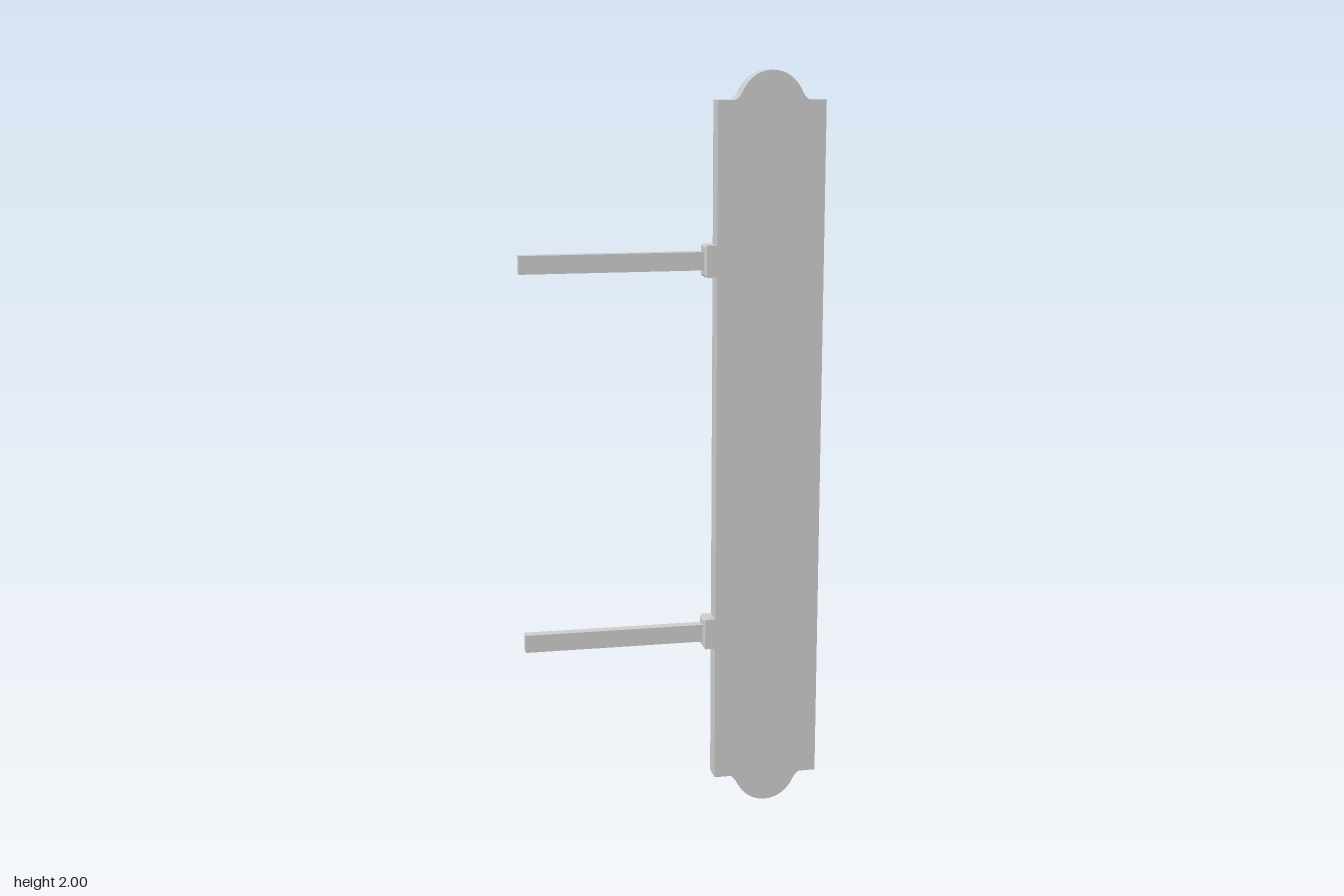
import * as THREE from 'three';

const material = new THREE.MeshStandardMaterial({ color: 0xcccccc });

function addMesh(parent, name, geometry) {
  const mesh = new THREE.Mesh(geometry, material);
  mesh.name = name;
  parent.add(mesh);
  return mesh;
}

// Box spanning x0..x1, its x0 end narrowed by inset
function taperedBox(x0, x1, height, depth, inset = 0) {
  const geometry = new THREE.BoxGeometry(x1 - x0, height, depth).translate((x0 + x1) / 2, 0, 0);
  const p = geometry.attributes.position;
  const middle = (x0 + x1) / 2;
  for (let i = 0; i < p.count; i++) {
    if (p.getX(i) > middle) continue;
    p.setY(i, p.getY(i) - Math.sign(p.getY(i)) * inset);
    p.setZ(i, p.getZ(i) - Math.sign(p.getZ(i)) * inset);
  }
  geometry.computeVertexNormals();
  return geometry;
}

// Long panel with a flared dome at each end
function panelGeometry() {
  const half = 0.144, body = 0.9245, depth = 0.056;
  const shape = new THREE.Shape();
  shape.moveTo(half, -body);
  for (const s of [1, -1]) {
    shape.lineTo(s * half, s * body);
    shape.lineTo(s * 0.098, s * body);
    shape.quadraticCurveTo(s * 0.085, s * (body + 0.008), s * 0.076, s * (body + 0.029));
    shape.bezierCurveTo(s * 0.058, s * (body + 0.06), s * 0.03, s * 1, 0, s * 1);
    shape.bezierCurveTo(-s * 0.03, s * 1, -s * 0.058, s * (body + 0.06), -s * 0.076, s * (body + 0.029));
    shape.quadraticCurveTo(-s * 0.085, s * (body + 0.008), -s * 0.098, s * body);
    shape.lineTo(-s * half, s * body);
  }
  return new THREE.ExtrudeGeometry(shape, { depth, bevelEnabled: false, curveSegments: 10 })
    .translate(0.259, 1, -depth / 2);
}

export function createModel() {
  const model = new THREE.Group();
  model.name = 'bannerWithBrackets';
  addMesh(model, 'panel', panelGeometry());

  // Two mounting arms, each with a chamfered collar against the panel
  [['lowerBracket', 0.493], ['upperBracket', 1.511]].forEach(([name, y]) => {
    const bracket = new THREE.Group();
    bracket.name = name;
    bracket.position.y = y;
    addMesh(bracket, 'arm', taperedBox(-0.403, 0.09, 0.048, 0.028));
    addMesh(bracket, 'collar', taperedBox(0.087, 0.116, 0.084, 0.056));
    addMesh(bracket, 'collarChamfer', taperedBox(0.083, 0.087, 0.084, 0.056, 0.005));
    model.add(bracket);
  });
  return model;
}
